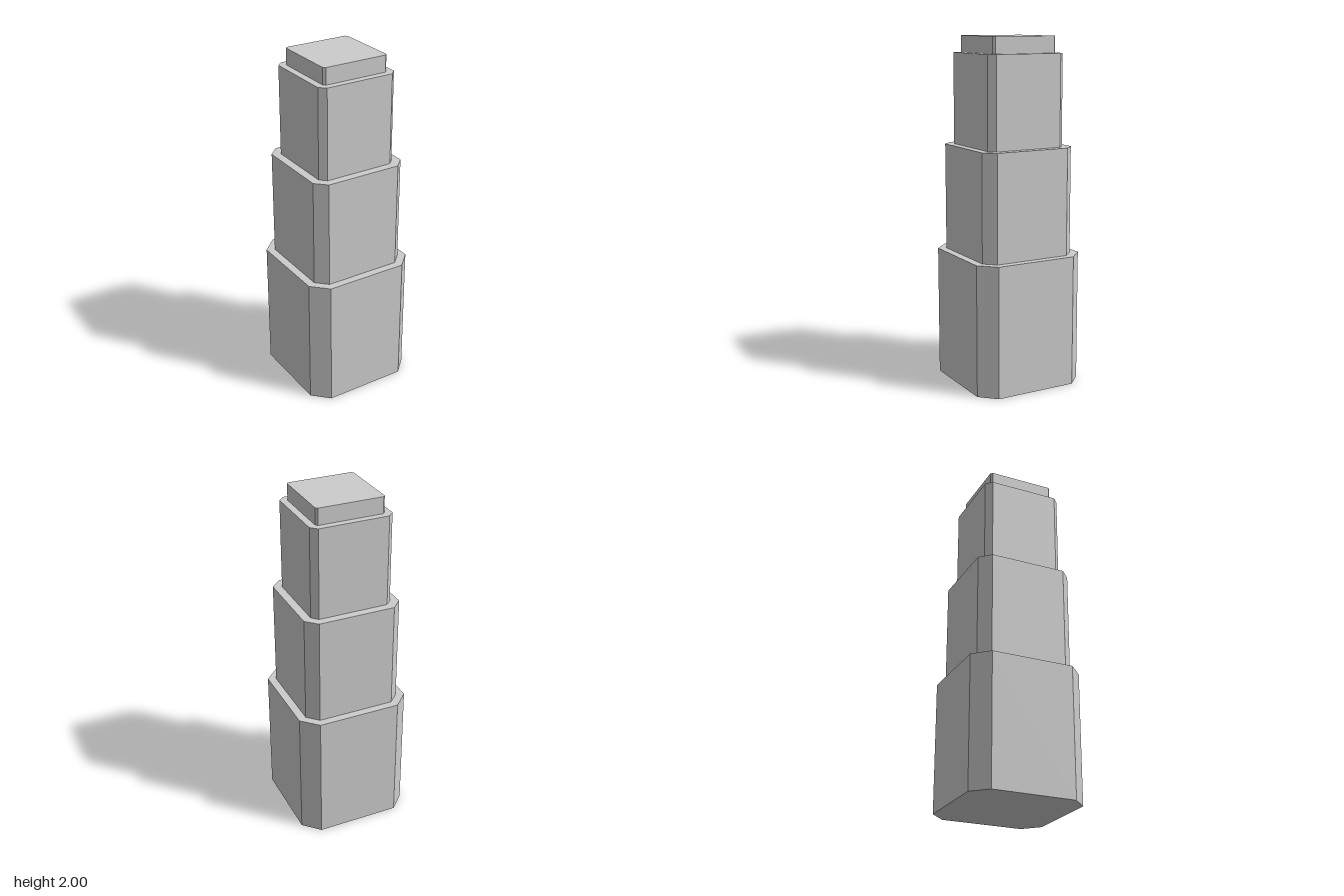
import * as THREE from 'three';

// Square block with chamfered vertical corners; half = half width, flat = half length of each straight side
function chamferedBlock(half, flat, bottom, top) {
  const outline = new THREE.Shape([
    [half, -flat], [half, flat], [flat, half], [-flat, half],
    [-half, flat], [-half, -flat], [-flat, -half], [flat, -half],
  ].map(([x, y]) => new THREE.Vector2(x, y)));
  const geometry = new THREE.ExtrudeGeometry(outline, { depth: top - bottom, bevelEnabled: false });
  geometry.rotateX(-Math.PI / 2);
  geometry.translate(0, bottom, 0);
  return geometry;
}

export function createModel() {
  const model = new THREE.Group();
  model.name = 'steppedTower';
  const stone = new THREE.MeshStandardMaterial({ color: 0xcccccc });
  stone.name = 'lightGrey';

  // Tiers from the ground up: name, half width, half side, bottom, top
  const tiers = [
    ['baseTier', 0.333, 0.243, 0, 0.762],
    ['middleTier', 0.287, 0.225, 0.762, 1.381],
    ['upperTier', 0.239, 0.204, 1.381, 1.905],
    ['roofCap', 0.199, 0.187, 1.905, 2],
  ];
  for (const [name, half, flat, bottom, top] of tiers) {
    const tier = new THREE.Mesh(chamferedBlock(half, flat, bottom, top), stone);
    tier.name = name;
    model.add(tier);
  }
  return model;
}
